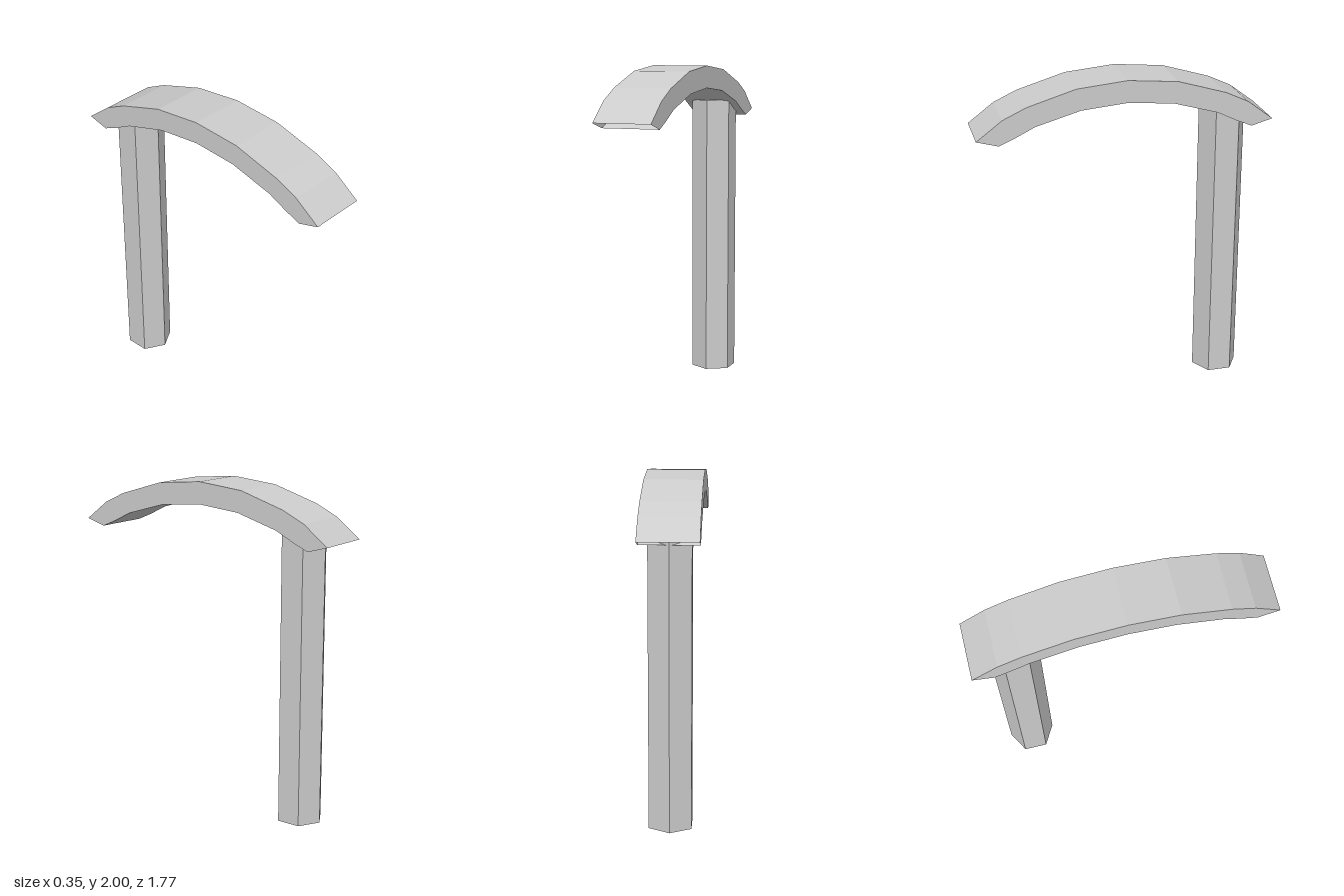
import * as THREE from 'three';

const material = new THREE.MeshStandardMaterial({
  color: 0xcccccc, flatShading: true, side: THREE.DoubleSide,
});

// Half of the arch from crown to tip: [outer z, outer y, inner z, inner y]
const HALF_ARCH = [
  [0, 2, 0, 1.867],
  [0.3, 1.972, 0.275, 1.842],
  [0.59, 1.885, 0.545, 1.765],
  [0.73, 1.82, 0.66, 1.708],
  [0.885, 1.703, 0.757, 1.667],
];

// Hollow rectangular channel swept along the arch, open at both tips
function archGeometry(halfWidth) {
  const back = HALF_ARCH.slice(1).reverse().map(([a, b, c, d]) => [-a, b, -c, d]);
  const rings = [...back, ...HALF_ARCH].map(([oz, oy, iz, iy]) => [
    [halfWidth, oy, oz], [-halfWidth, oy, oz], [-halfWidth, iy, iz], [halfWidth, iy, iz],
  ]);
  const positions = [];
  for (let i = 0; i < rings.length - 1; i++) {
    for (let j = 0; j < 4; j++) {
      const k = (j + 1) % 4;
      const a = rings[i][j], b = rings[i][k], c = rings[i + 1][k], d = rings[i + 1][j];
      positions.push(...a, ...b, ...c, ...a, ...c, ...d);
    }
  }
  const geometry = new THREE.BufferGeometry();
  geometry.setAttribute('position', new THREE.Float32BufferAttribute(positions, 3));
  geometry.computeVertexNormals();
  return geometry;
}

export function createModel() {
  const model = new THREE.Group();
  model.name = 'archedHeadOnPost';

  // Curved head
  const arch = new THREE.Mesh(archGeometry(0.173), material);
  arch.name = 'curvedHead';
  model.add(arch);

  // Open six-sided post, its top tucked inside the head
  const height = 1.77;
  const post = new THREE.Mesh(
    new THREE.CylinderGeometry(0.143, 0.143, height, 6, 1, true), material);
  post.name = 'post';
  post.position.set(0, height / 2, -0.623);
  model.add(post);

  return model;
}
